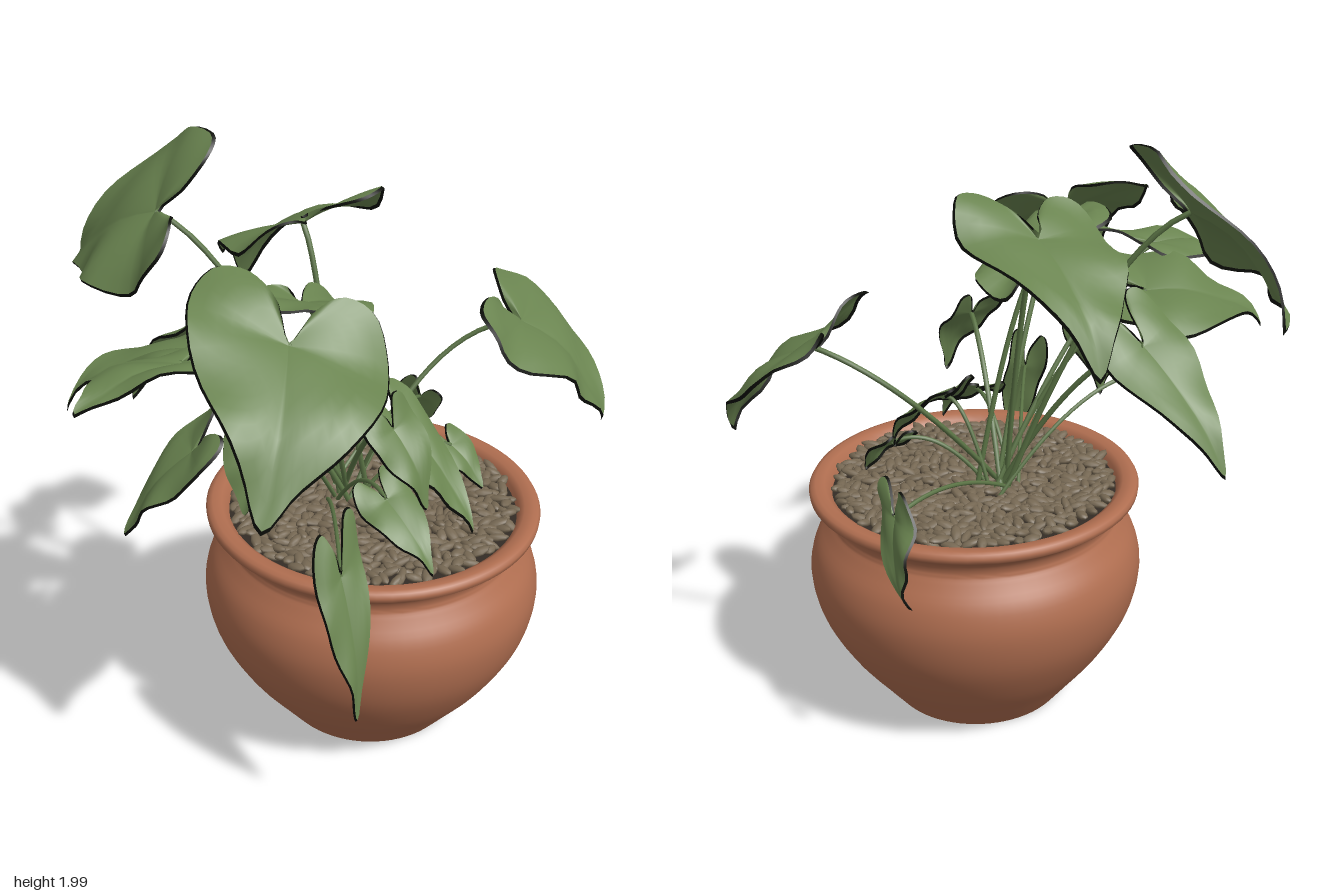
import * as THREE from 'three';
import { toCreasedNormals, mergeGeometries } from 'three/addons/utils/BufferGeometryUtils.js';

const mat = (name, color, extra = {}) => {
  const m = new THREE.MeshStandardMaterial({ color, ...extra });
  m.name = name;
  return m;
};
const V = (a) => new THREE.Vector3(...a);
const POT_X = 0.11, POT_Z = 0.22;

// Small seeded generator for pebbles and stem roots
let seed = 7;
const rand = () => (seed = (seed * 16807) % 2147483647) / 2147483647;

// Heart outline: [across, along] from the tip round one lobe to the notch
const half = [[0, 1], [0.13, 0.78], [0.33, 0.5], [0.48, 0.18], [0.5, -0.12], [0.4, -0.33], [0.24, -0.36], [0.1, -0.22]];
const outline = [...half, [0, -0.02], ...half.slice(1).reverse().map(([a, l]) => [-a, l])];
const outlineCurve = new THREE.CatmullRomCurve3(outline.map(([a, l]) => new THREE.Vector3(a, l, 0)), true, 'centripetal');

// Leaf blade: rings growing from the stalk joint to the heart outline,
// sheared into the directions joint-to-tip and lobe-to-lobe,
// then a narrow turned-down dark margin as a second group
const RINGS = [0, 0.14, 0.28, 0.43, 0.57, 0.72, 0.86, 1, 1, 1.018];
function leafGeometry(base, tip, across, phase) {
  const along = tip.clone().sub(base);
  const normal = along.clone().cross(across).normalize();
  if (normal.y < 0) normal.negate();
  const size = across.length();
  const segs = 56, blade = 7, pos = [], index = [];
  let bladeCount = 0;
  RINGS.forEach((s, r) => {
    if (r === blade) bladeCount = index.length;
    for (let i = 0; i < segs; i++) {
      const q = outlineCurve.getPoint(i / segs);
      const a = q.x * s, l = q.y * s;
      const arch = l > 0 ? 0.45 * l * (1 - l) : -0.3 * l * l;
      let h = size * (arch + 0.22 * Math.abs(a) - 0.5 * a * a + 0.04 * s * s * Math.sin(9 * l + 5 * a + phase));
      if (s > 1) h -= 0.009;
      const p = base.clone().addScaledVector(along, l).addScaledVector(across, a).addScaledVector(normal, h);
      pos.push(p.x, p.y, p.z);
      if (r < RINGS.length - 1 && r !== blade) {
        const j = (i + 1) % segs, k = r * segs;
        if (r > 0) index.push(k + i, k + segs + i, k + j);
        index.push(k + j, k + segs + i, k + segs + j);
      }
    }
  });
  const g = new THREE.BufferGeometry();
  g.setAttribute('position', new THREE.Float32BufferAttribute(pos, 3));
  g.setIndex(index);
  g.addGroup(0, bladeCount, 0);
  g.addGroup(bladeCount, index.length - bladeCount, 1);
  g.computeVertexNormals();
  return g;
}

// Each leaf: stalk joint, tip, lobe-to-lobe vector, optional stalk bend
const leaves = [
  [[-0.2, 1.76, -0.4], [-0.16, 1.48, -0.77], [0.37, 0.36, -0.08]],
  [[0.13, 1.69, -0.08], [0.27, 1.39, -0.44], [0.42, 0.07, 0.22]],
  [[-0.42, 1.59, 0.27], [-0.8, 1.25, 0.46], [0.27, -0.18, 0.49]],
  [[-0.55, 1.5, -0.02], [-0.83, 1.4, -0.17], [-0.12, -0.06, -0.32]],
  [[-0.33, 1.42, -0.15], [-0.64, 1.28, -0.4], [0.25, -0.14, -0.35]],
  [[-0.09, 1.34, -0.32], [-0.09, 1.0, -0.65], [0.28, -0.08, 0.02]],
  [[-0.12, 1.56, 0.1], [-0.16, 1.46, 0.32], [0.48, -0.18, 0.05]],
  [[0.57, 1.34, 0.48], [0.67, 1.01, 0.74], [0.52, -0.02, -0.19], [0.14, 0, -0.16]],
  [[0.63, 0.9, 0.07], [0.72, 0.67, -0.06], [-0.07, 0.0, 0.2]],
  [[-0.48, 0.93, 0.5], [-0.55, 0.5, 0.62], [0.18, 0.08, 0.02]],
  [[-0.4, 1.1, -0.12], [-0.55, 0.81, -0.28], [0.2, 0.05, -0.17]],
  [[0.15, 1.07, 0.32], [0.11, 0.81, 0.6], [0.25, 0.06, -0.08]],
  [[-0.12, 0.98, 0.42], [-0.17, 0.82, 0.63], [0.18, 0.04, 0.04]],
  [[-0.14, 1.25, 0.45], [-0.14, 1.02, 0.58], [0.2, 0.02, 0.03]],
  [[0.33, 0.95, 0.38], [0.34, 0.82, 0.5], [0.15, 0.01, 0.02]],
  [[-0.35, 1.2, 0.09], [-0.42, 0.96, 0.1], [0.1, 0.03, 0.16]],
];

// Curved stalk from the soil to a given point
function stemGeometry(end, radius, bend) {
  const root = new THREE.Vector3(0.1 + (rand() - 0.5) * 0.14, 0.77, 0.13 + (rand() - 0.5) * 0.12);
  const mid = root.clone().lerp(end, 0.55).add(bend);
  mid.y = root.y + (end.y - root.y) * 0.85 + (end.y < 1.12 ? 0.1 : 0.03);
  return new THREE.TubeGeometry(new THREE.QuadraticBezierCurve3(root, mid, end), 18, radius, 6);
}

export function createModel() {
  const clay = mat('terracotta', 0xb06e50);
  const green = mat('leaf green', 0x6a8450, { side: THREE.DoubleSide });
  const margin = mat('leaf margin black', 0x0b0d08, { side: THREE.DoubleSide });
  const stalk = mat('stalk green', 0x5c7546);
  const stone = mat('pebble brown', 0x766853);
  const soil = mat('dark soil', 0x332c25);
  const model = new THREE.Group();
  const add = (parent, name, geo, material) => {
    const m = new THREE.Mesh(geo, material);
    m.name = name;
    parent.add(m);
    return m;
  };

  // Pot: closed foot, round belly, narrow neck and flared lip
  const pot = new THREE.Group();
  pot.name = 'pot';
  pot.position.set(POT_X, 0, POT_Z);
  model.add(pot);
  const belly = new THREE.SplineCurve([[0.3, 0], [0.37, 0.09], [0.46, 0.21], [0.535, 0.35], [0.562, 0.48],
    [0.545, 0.58], [0.5, 0.655], [0.482, 0.69], [0.495, 0.73], [0.54, 0.762]].map((p) => new THREE.Vector2(...p)));
  const profile = [[0, 0.012], [0.27, 0.008], ...belly.getPoints(40).map((p) => [p.x, p.y]),
    [0.55, 0.77], [0.552, 0.785], [0.545, 0.797], [0.53, 0.802], [0.5, 0.8], [0.48, 0.785], [0.47, 0.74]];
  const potGeo = new THREE.LatheGeometry(profile.map((p) => new THREE.Vector2(...p)), 72);
  add(pot, 'terracottaPot', toCreasedNormals(potGeo, 0.8), clay);
  const bed = add(pot, 'soilBed', new THREE.CircleGeometry(0.48, 48), soil);
  bed.rotation.x = -Math.PI / 2;
  bed.position.y = 0.765;

  // Pebbles scattered evenly over the soil
  const pebbles = [];
  const count = 640;
  for (let i = 0; i < count; i++) {
    const r = 0.462 * Math.sqrt((i + 0.5) / count), t = i * 2.39996;
    const g = new THREE.SphereGeometry(1, 8, 5);
    g.scale(0.028 + rand() * 0.014, 0.012, 0.014 + rand() * 0.006);
    g.rotateZ((rand() - 0.5) * 0.7);
    g.rotateY(rand() * Math.PI * 2);
    g.translate(r * Math.cos(t), 0.776 + rand() * 0.016, r * Math.sin(t));
    pebbles.push(g);
  }
  add(pot, 'pebbles', mergeGeometries(pebbles), stone);

  // Leaves with their stalks
  const plant = new THREE.Group();
  plant.name = 'plant';
  model.add(plant);
  leaves.forEach(([b, t, a, bend = [0, 0, 0]], i) => {
    const base = V(b);
    add(plant, 'leaf', leafGeometry(base, V(t), V(a), i * 1.7), [green, margin]);
    add(plant, 'stem', stemGeometry(base, b[1] > 1.2 ? 0.009 : 0.007, V(bend)), stalk);
  });
  return model;
}
